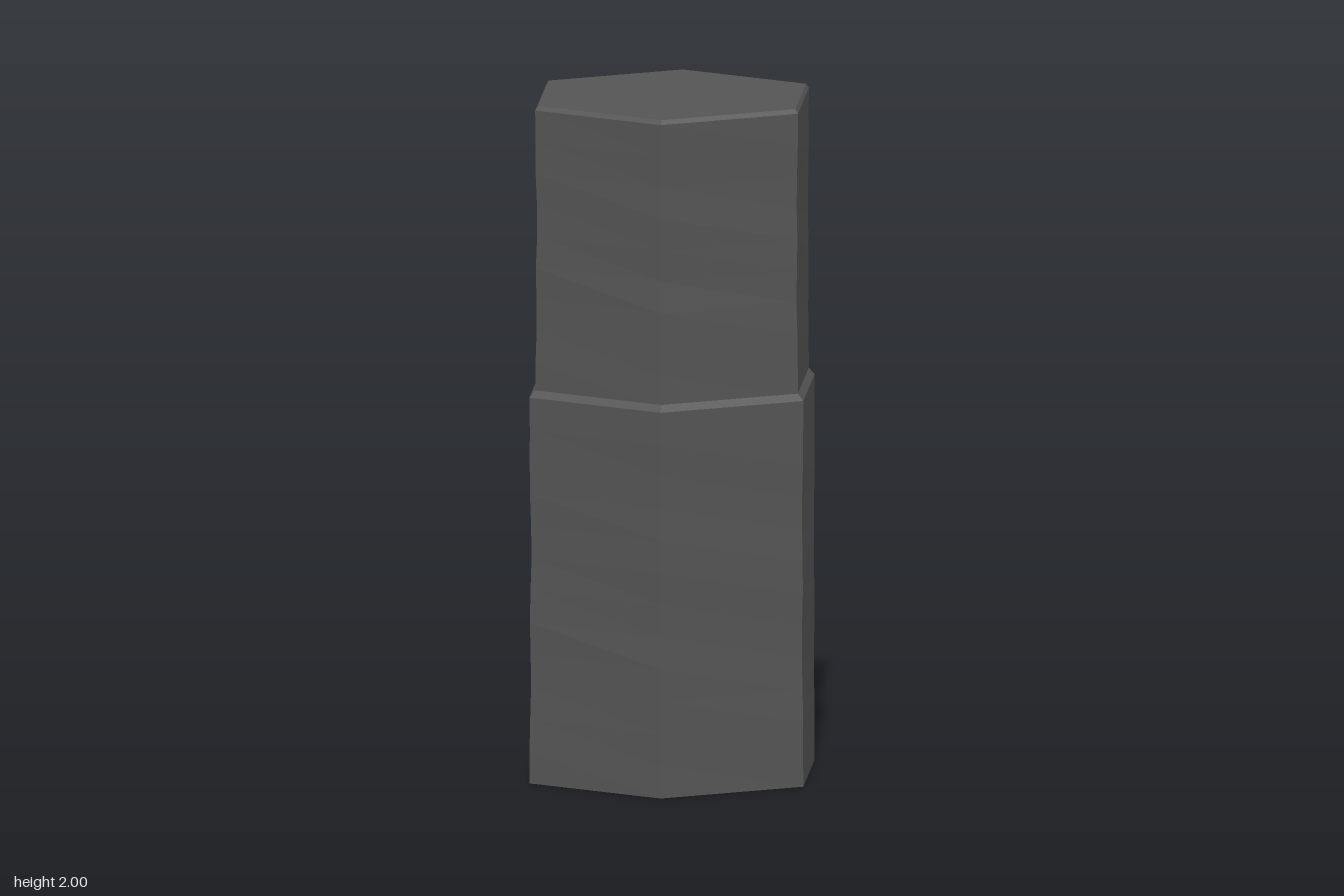
import * as THREE from 'three';

const material = new THREE.MeshStandardMaterial({ color: 0x555555, flatShading: true });

// Depth of edge wear for each of the six corners, starting at the front
const WEAR = [0.006, 0.004, 0.002, 0.001, 0.003, 0.005];

// Hexagonal stone section turned from a profile, with corners slightly worn
function hexSection(name, profile, y0, y1) {
  const geometry = new THREE.LatheGeometry(profile.map(([r, y]) => new THREE.Vector2(r, y)), 6);
  const pos = geometry.attributes.position;
  for (let i = 0; i < pos.count; i++) {
    const x = pos.getX(i), y = pos.getY(i), z = pos.getZ(i);
    const r = Math.hypot(x, z);
    if (r < 0.01 || y <= y0 || y >= y1) continue;
    const corner = (Math.round(Math.atan2(x, z) / (Math.PI / 3)) + 6) % 6;
    const t = (y - y0) / (y1 - y0);
    const dent = WEAR[corner] * Math.sin(Math.PI * t) * (1 + 0.6 * Math.sin(t * 17 + corner * 2));
    pos.setX(i, x * (1 - dent / r));
    pos.setZ(i, z * (1 - dent / r));
  }
  const mesh = new THREE.Mesh(geometry, material);
  mesh.name = name;
  return mesh;
}

// Evenly spaced rows up a straight side
function side(r, y0, y1, rows) {
  return Array.from({ length: rows + 1 }, (_, i) => [r, y0 + (y1 - y0) * i / rows]);
}

export function createModel() {
  const group = new THREE.Group();
  group.name = 'hexagonalPillar';

  // Wider base with a chamfered shoulder
  group.add(hexSection('lowerColumn',
    [[0, 0], ...side(0.462, 0, 1.14, 12), [0.443, 1.16], [0, 1.16]], 0, 1.14));

  // Narrower shaft with a small bevel at the top
  group.add(hexSection('upperColumn',
    [[0, 1.15], ...side(0.443, 1.15, 1.987, 9), [0.434, 2], [0, 2]], 1.15, 1.987));

  return group;
}
